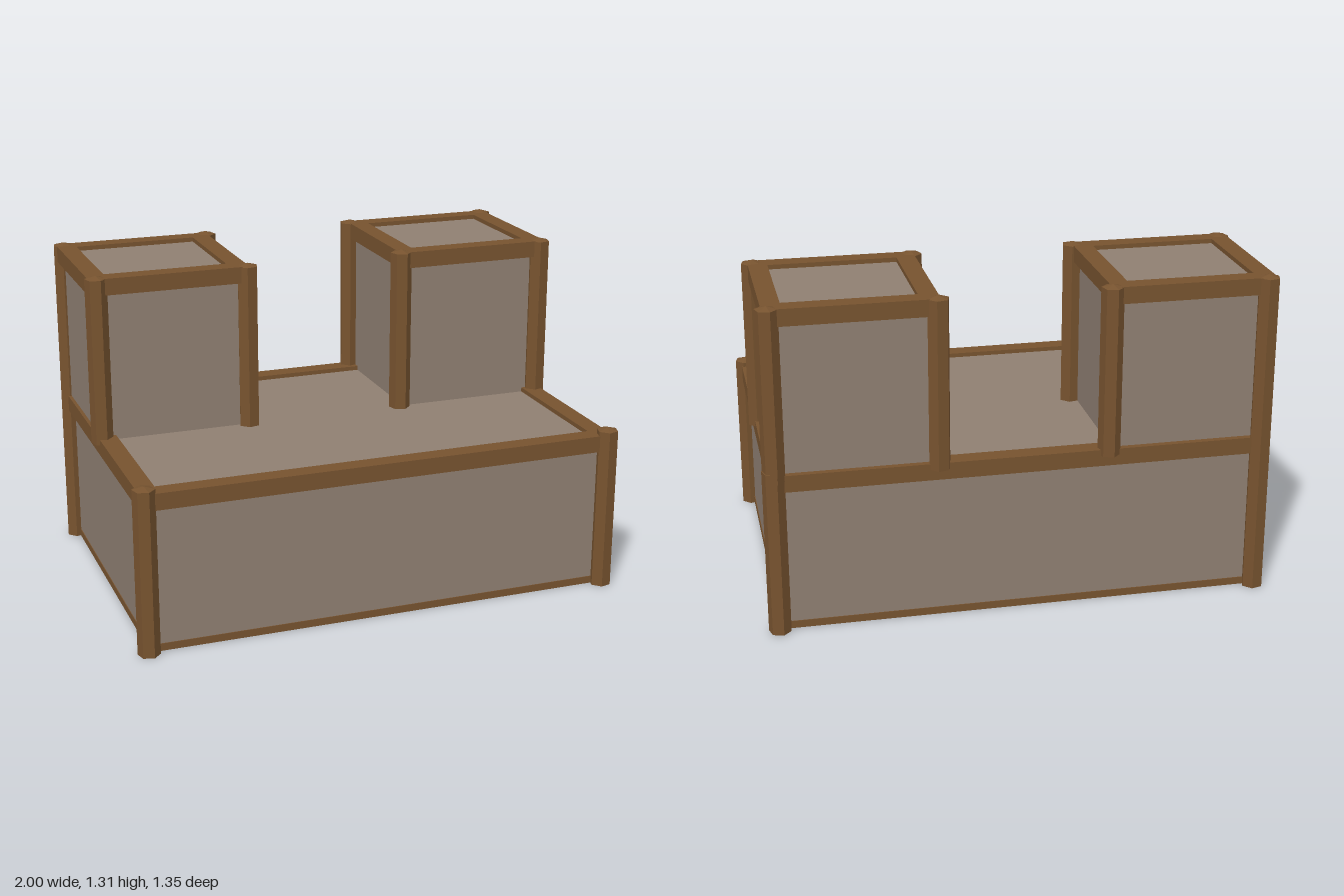
import * as THREE from 'three';

export function createModel() {
  const model = new THREE.Group();
  model.name = 'timberBuilding';
  const wood = new THREE.MeshStandardMaterial({ color: 0x77532f });
  wood.name = 'brown wood';
  const plaster = new THREE.MeshStandardMaterial({ color: 0x8f7f72 });
  plaster.name = 'taupe plaster';

  // Box given by its lower and upper corners
  function box(parent, name, material, [x0, y0, z0], [x1, y1, z1]) {
    const mesh = new THREE.Mesh(new THREE.BoxGeometry(x1 - x0, y1 - y0, z1 - z0), material);
    mesh.position.set((x0 + x1) / 2, (y0 + y1) / 2, (z0 + z1) / 2);
    mesh.name = name;
    parent.add(mesh);
  }

  // Six-sided post with a shallow pointed cap, one edge turned to the outer corner
  function post(parent, x, z, y0, y1, sx, sz) {
    const r = 0.044;
    const profile = [[0, y0], [r, y0], [r, y1 - 0.012], [0, y1]].map(([a, b]) => new THREE.Vector2(a, b));
    const flat = new THREE.LatheGeometry(profile, 6).toNonIndexed();
    flat.computeVertexNormals();
    const mesh = new THREE.Mesh(flat, wood);
    mesh.position.set(x, 0, z);
    mesh.rotation.y = Math.atan2(sx, sz);
    mesh.name = 'cornerPost';
    parent.add(mesh);
  }

  // Rectangular ring of four bars centred on the wall lines
  function ring(parent, name, [x0, x1, z0, z1], y0, y1, width, material) {
    const h = width / 2;
    for (const z of [z0, z1]) box(parent, name, material, [x0 - h, y0, z - h], [x1 + h, y1, z + h]);
    for (const x of [x0, x1]) box(parent, name, material, [x - h, y0, z0 + h], [x + h, y1, z1 - h]);
  }

  // Framed block: walls, top beams, recessed roof and corner posts
  function block(name, lines, wallBottom, beamTop, postBottom, posts) {
    const group = new THREE.Group();
    group.name = name;
    const [x0, x1, z0, z1] = lines;
    ring(group, 'wall', lines, wallBottom, beamTop - 0.05, 0.02, plaster);
    ring(group, 'topBeam', lines, beamTop - 0.067, beamTop, 0.075, wood);
    box(group, 'roofPanel', plaster, [x0, beamTop - 0.03, z0], [x1, beamTop - 0.018, z1]);
    const [px0, px1, pz0, pz1] = posts;
    for (const [x, sx] of [[px0, -1], [px1, 1]])
      for (const [z, sz] of [[pz0, -1], [pz1, 1]])
        post(group, x, z, postBottom, beamTop + (postBottom > 0 ? 0.01 : 0.03), sx, sz);
    model.add(group);
    return group;
  }

  // Hollow lower hall, open underneath, with a thin sill along the ground
  const hallLines = [-0.9375, 0.9375, -0.61, 0.61];
  const hall = block('lowerHall', hallLines, 0.03, 0.65, 0, [-0.957, 0.957, -0.633, 0.633]);
  ring(hall, 'groundSill', hallLines, 0, 0.03, 0.026, wood);

  // Two towers standing on the back half
  block('rightTower', [-0.951, -0.374, -0.612, -0.045], 0.625, 1.303, 0.627, [-0.957, -0.34, -0.633, -0.03]);
  block('leftTower', [0.353, 0.936, -0.612, -0.045], 0.625, 1.303, 0.627, [0.325, 0.955, -0.633, -0.03]);

  return model;
}
